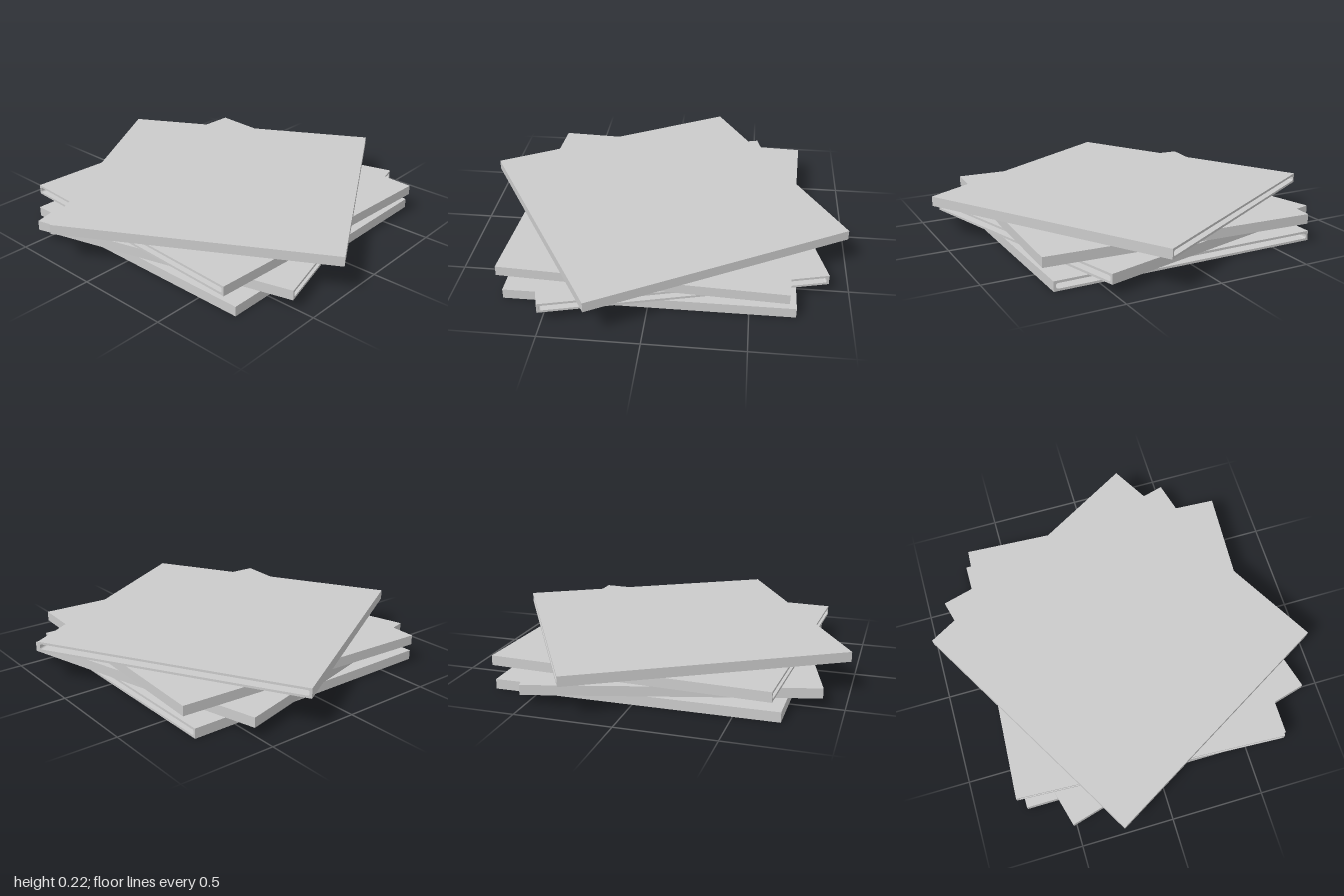
import * as THREE from 'three';

const SIDE = 1.46, THICK = 0.052, STEP = 0.055, DEPTH = 0.27;

// rectangle with rounded corners, centred on the origin
function roundedRect(path, w, h, r) {
  const x = w / 2, y = h / 2;
  path.moveTo(-x + r, -y);
  path.lineTo(x - r, -y);
  path.absarc(x - r, -y + r, r, -Math.PI / 2, 0);
  path.lineTo(x, y - r);
  path.absarc(x - r, y - r, r, 0, Math.PI / 2);
  path.lineTo(-x + r, y);
  path.absarc(-x + r, y - r, r, Math.PI / 2, Math.PI);
  path.lineTo(-x, -y + r);
  path.absarc(-x + r, -y + r, r, Math.PI, Math.PI * 1.5);
  return path;
}

// flat square sleeve with a slot opening on its +x edge
function createSleeve(material) {
  const sleeve = new THREE.Group();

  // solid rear portion, whose +x face is the floor of the slot
  const body = new THREE.Mesh(new THREE.BoxGeometry(SIDE - DEPTH, THICK, SIDE), material);
  body.name = 'sleeveBody';
  body.position.x = -DEPTH / 2;

  // hollow portion around the slot
  const x = SIDE / 2, y = THICK / 2;
  const outline = new THREE.Shape([
    new THREE.Vector2(-x, -y), new THREE.Vector2(x, -y),
    new THREE.Vector2(x, y), new THREE.Vector2(-x, y),
  ]);
  outline.holes.push(roundedRect(new THREE.Path(), 1.436, 0.028, 0.01));
  const geometry = new THREE.ExtrudeGeometry(outline, { depth: DEPTH, bevelEnabled: false, curveSegments: 4 });
  geometry.rotateY(Math.PI / 2);
  geometry.translate(x - DEPTH, 0, 0);
  const mouth = new THREE.Mesh(geometry, material);
  mouth.name = 'slotOpening';

  sleeve.add(body, mouth);
  return sleeve;
}

export function createModel() {
  const model = new THREE.Group();
  model.name = 'sleeveStack';
  const material = new THREE.MeshStandardMaterial({ color: 0xcccccc });

  // turn of each sleeve in degrees, bottom to top; the slot faces local +x
  [0, 15 - 90, 180 - 3, 30].forEach((turn, i) => {
    const sleeve = createSleeve(material);
    sleeve.name = `sleeve${i + 1}`;
    sleeve.position.y = THICK / 2 + i * STEP;
    sleeve.rotation.y = THREE.MathUtils.degToRad(turn);
    model.add(sleeve);
  });
  return model;
}
